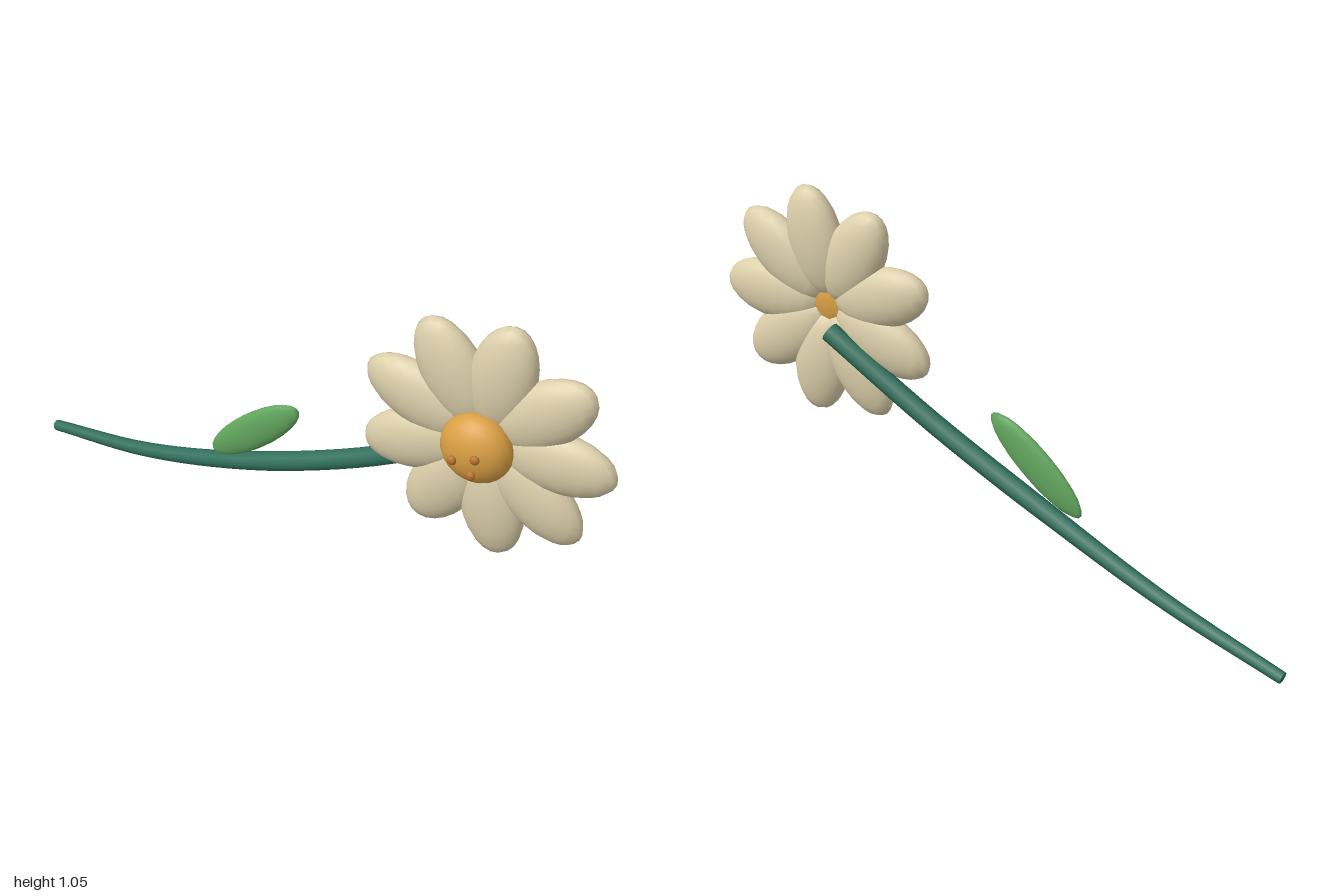
import * as THREE from 'three';

const material = (name, color) => {
  const m = new THREE.MeshStandardMaterial({ color });
  m.name = name;
  return m;
};

export function createModel() {
  const cream = material('petal cream', 0xdccfaa);
  const gold = material('centre gold', 0xdba045);
  const brown = material('seed brown', 0xb8712d);
  const darkGreen = material('stem green', 0x30705c);
  const leafGreen = material('leaf green', 0x62a65e);

  const flower = new THREE.Group();
  flower.name = 'flower';

  // Scaled sphere, turned about z
  const ellipsoid = (parent, name, mat, position, radii, angle = 0, segments = 18) => {
    const mesh = new THREE.Mesh(new THREE.SphereGeometry(1, segments, Math.round(segments * 0.7)), mat);
    mesh.name = name;
    mesh.position.set(...position);
    mesh.scale.set(...radii);
    mesh.rotation.z = angle;
    parent.add(mesh);
    return mesh;
  };

  // Flower head: ring of nine petals around a domed centre
  const head = new THREE.Group();
  head.name = 'flowerHead';
  head.position.set(0.61, 0.675, 0.013);
  flower.add(head);
  for (let i = 0; i < 9; i++) {
    const a = (i / 9) * Math.PI * 2;
    ellipsoid(head, 'petal', cream, [Math.cos(a) * 0.208, Math.sin(a) * 0.208, 0], [0.174, 0.095, 0.055], a);
  }
  ellipsoid(head, 'flowerCentre', gold, [0, 0, 0.05], [0.105, 0.105, 0.069], 0, 20);

  // Three small seeds in front of the centre
  for (const [x, y] of [[-0.036, -0.002], [0.03, 0.023], [0.022, -0.032]]) {
    ellipsoid(head, 'seed', brown, [x, y, 0.132], [0.014, 0.014, 0.01], 0, 10);
  }

  // Curved stem, thinner at its foot
  const path = new THREE.CatmullRomCurve3([
    [-0.994, 0.018, -0.141], [-0.6, 0.1, -0.092], [-0.2, 0.235, -0.056],
    [0.2, 0.41, -0.043], [0.57, 0.618, -0.045],
  ].map((p) => new THREE.Vector3(...p)));
  const steps = 24, sides = 8;
  const radiusAt = (t) => 0.018 + 0.013 * Math.min(1, t * 1.8);
  const tube = new THREE.TubeGeometry(path, steps, 1, sides);
  const pos = tube.attributes.position;
  const v = new THREE.Vector3();
  for (let i = 0; i < pos.count; i++) {
    const t = Math.floor(i / (sides + 1)) / steps;
    const c = path.getPointAt(t);
    v.fromBufferAttribute(pos, i).sub(c).multiplyScalar(radiusAt(t)).add(c);
    pos.setXYZ(i, v.x, v.y, v.z);
  }
  const stem = new THREE.Mesh(tube, darkGreen);
  stem.name = 'stem';
  flower.add(stem);

  // Flat stem ends
  for (const t of [0, 1]) {
    const cap = new THREE.Mesh(new THREE.CircleGeometry(radiusAt(t), sides), darkGreen);
    cap.name = 'stemEnd';
    const out = path.getTangentAt(t).multiplyScalar(t ? 1 : -1);
    cap.position.copy(path.getPointAt(t));
    cap.quaternion.setFromUnitVectors(new THREE.Vector3(0, 0, 1), out);
    flower.add(cap);
  }

  // Single leaf
  ellipsoid(flower, 'leaf', leafGreen, [-0.153, 0.377, -0.043], [0.198, 0.057, 0.023], 0.715);

  return flower;
}
